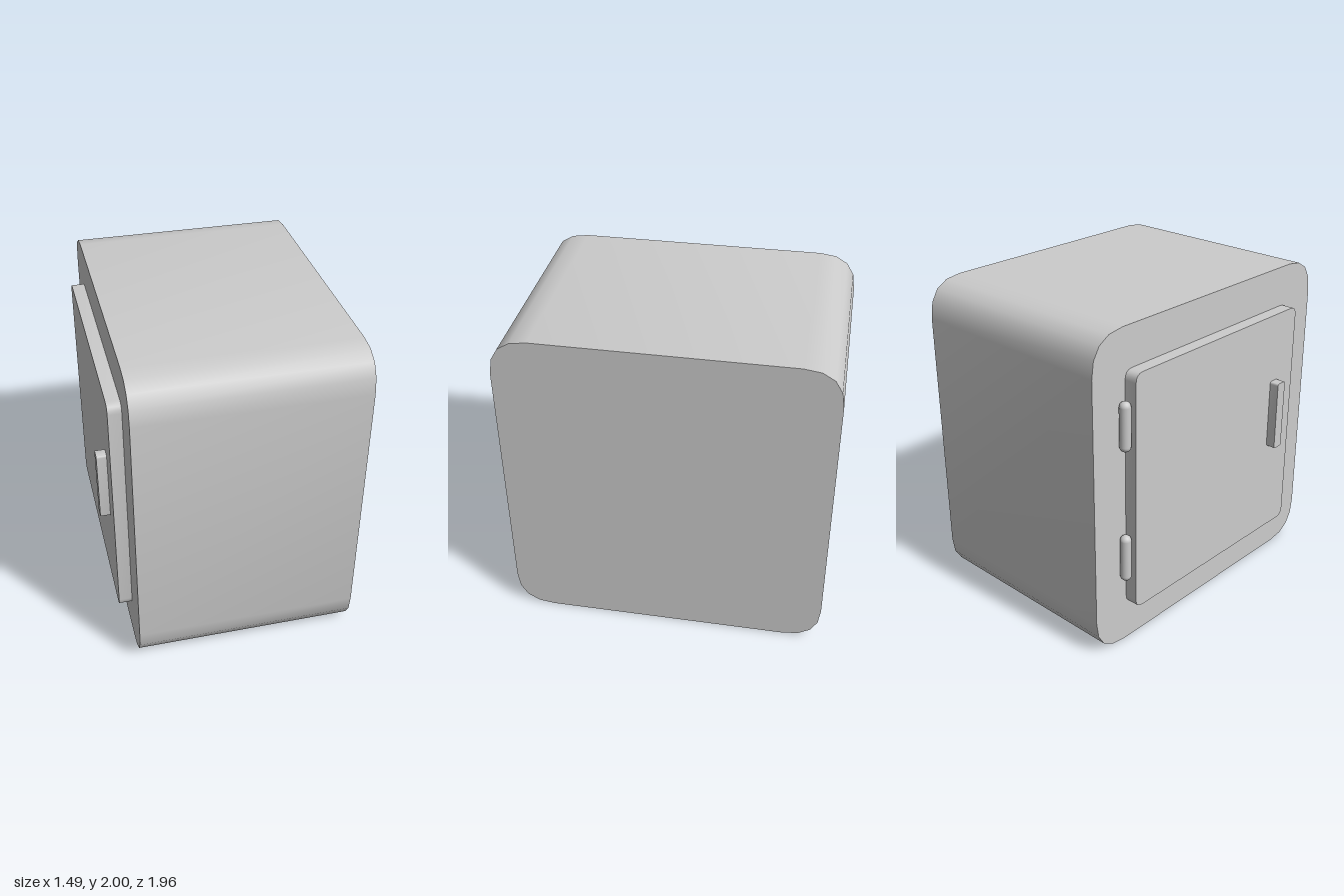
import * as THREE from 'three';
import { toCreasedNormals } from 'three/addons/utils/BufferGeometryUtils.js';

const material = new THREE.MeshStandardMaterial({ color: 0xcccccc });

// Rounded rectangle in the z-y plane, extruded from x0 to x1
function roundedSlab(name, x0, x1, width, height, radius, y, z) {
  const w = width / 2, h = height / 2, r = radius;
  const shape = new THREE.Shape();
  shape.moveTo(-w + r, -h);
  shape.lineTo(w - r, -h);
  shape.quadraticCurveTo(w, -h, w, -h + r);
  shape.lineTo(w, h - r);
  shape.quadraticCurveTo(w, h, w - r, h);
  shape.lineTo(-w + r, h);
  shape.quadraticCurveTo(-w, h, -w, h - r);
  shape.lineTo(-w, -h + r);
  shape.quadraticCurveTo(-w, -h, -w + r, -h);
  const extruded = new THREE.ExtrudeGeometry(shape, {
    depth: x1 - x0, bevelEnabled: false, curveSegments: 4,
  });
  extruded.rotateY(Math.PI / 2);
  const mesh = new THREE.Mesh(toCreasedNormals(extruded, 0.8), material);
  mesh.name = name;
  mesh.position.set(x0, y, z);
  return mesh;
}

export function createModel() {
  const model = new THREE.Group();
  model.name = 'safe';

  // Cabinet with its door on the -x side
  model.add(roundedSlab('body', -0.605, 0.742, 1.957, 2, 0.23, 1, 0));
  model.add(roundedSlab('door', -0.685, -0.605, 1.46, 1.5, 0.055, 1, 0));
  model.add(roundedSlab('handle', -0.745, -0.685, 0.072, 0.45, 0.015, 1.085, 0.54));

  // Capsule hinges along the door's back edge
  for (const [name, y] of [['upperHinge', 1.44], ['lowerHinge', 0.6]]) {
    const hinge = new THREE.Mesh(new THREE.CapsuleGeometry(0.034, 0.235, 6, 16), material);
    hinge.name = name;
    hinge.position.set(-0.638, y, -0.766);
    model.add(hinge);
  }
  return model;
}
